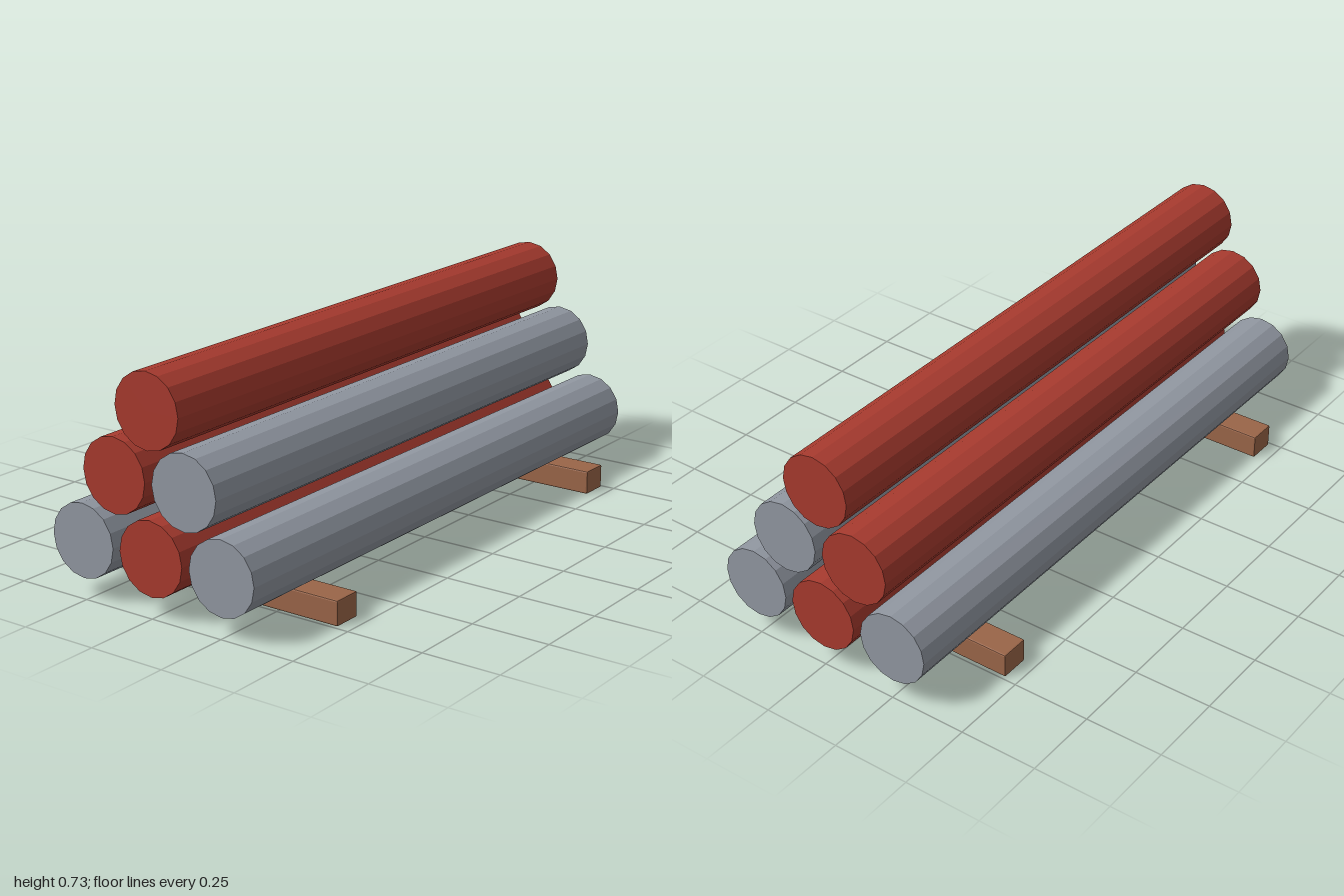
import * as THREE from 'three';
import { RoundedBoxGeometry } from 'three/addons/geometries/RoundedBoxGeometry.js';

const material = (name, color, flatShading = false) => {
  const m = new THREE.MeshStandardMaterial({ color, flatShading });
  m.name = name;
  return m;
};

export function createModel() {
  const group = new THREE.Group();
  group.name = 'pipeStack';

  const red = material('rust red', 0xa63a2e, true);
  const grey = material('steel grey', 0x9096a0, true);
  const wood = material('brown wood', 0x9a6548, true);

  // Solid sixteen-sided pipes lying along z, with a corner at the top
  const pipeGeometry = new THREE.CylinderGeometry(0.115, 0.115, 2, 16).rotateX(Math.PI / 2);

  // Pyramid of three rows
  const rows = [
    { y: 0.18, colors: [grey, red, grey] },
    { y: 0.402, colors: [red, grey] },
    { y: 0.613, colors: [red] },
  ];
  rows.forEach(({ y, colors }, r) => {
    colors.forEach((color, i) => {
      const pipe = new THREE.Mesh(pipeGeometry, color);
      pipe.name = `pipeRow${r + 1}Number${i + 1}`;
      pipe.position.set((i - (colors.length - 1) / 2) * 0.255, y, 0);
      group.add(pipe);
    });
  });

  // Two cross beams with slightly chamfered edges
  const beamGeometry = new RoundedBoxGeometry(0.915, 0.078, 0.095, 1, 0.005);
  for (const side of [1, -1]) {
    const beam = new THREE.Mesh(beamGeometry, wood);
    beam.name = side > 0 ? 'frontBeam' : 'backBeam';
    beam.position.set(0, 0.039, side * 0.693);
    group.add(beam);
  }

  return group;
}
